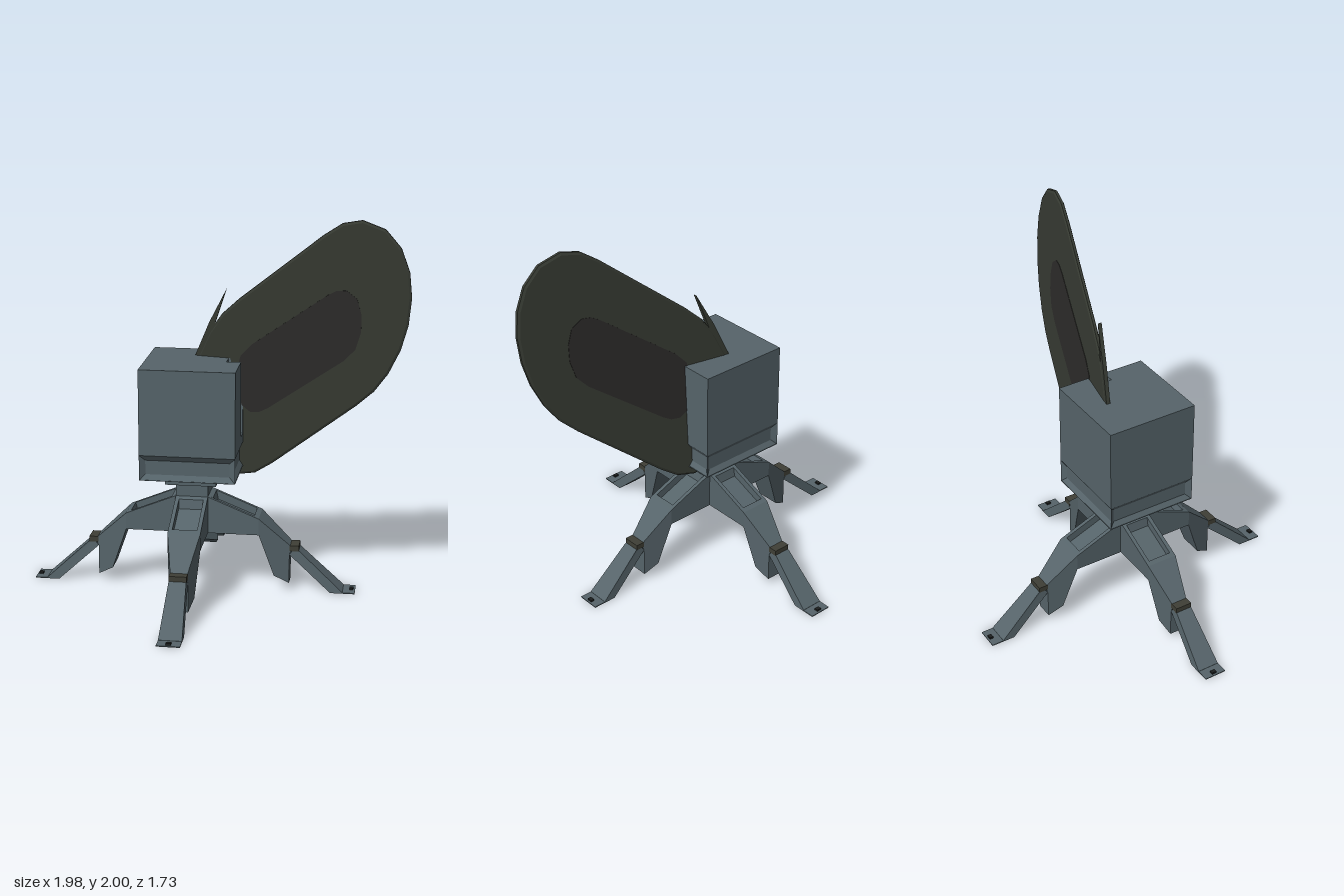
import * as THREE from 'three';

const mat = (color) => new THREE.MeshStandardMaterial({ color, flatShading: true, side: THREE.DoubleSide });
const steel = mat(0x56646a), olive = mat(0x363a32), brown = mat(0x2d2b2a), dark = mat(0x1c1e1e), band = mat(0x3f3f36);

function add(parent, name, geometry, material) {
  const mesh = new THREE.Mesh(geometry, material);
  mesh.name = name;
  parent.add(mesh);
  return mesh;
}

// Box given by its limits on each axis
function box(x0, x1, y0, y1, z0, z1) {
  return new THREE.BoxGeometry(x1 - x0, y1 - y0, z1 - z0)
    .translate((x0 + x1) / 2, (y0 + y1) / 2, (z0 + z1) / 2);
}

const shapeOf = (pts) => new THREE.Shape(pts.map(([x, y]) => new THREE.Vector2(x, y)));

// Moves every vertex by a rule
function bend(geometry, rule) {
  const p = geometry.attributes.position, v = new THREE.Vector3();
  for (let i = 0; i < p.count; i++) {
    rule(v.fromBufferAttribute(p, i));
    p.setXYZ(i, v.x, v.y, v.z);
  }
  geometry.computeVertexNormals();
  return geometry;
}

// Half-width of a leg at distance r from the hub
const widths = [[0, 0.085], [0.355, 0.085], [0.53, 0.042], [0.57, 0.045], [0.735, 0.06], [1, 0.06]];
function halfWidth(r) {
  let i = 1;
  while (i < widths.length - 1 && r > widths[i][0]) i++;
  const [a, wa] = widths[i - 1], [b, wb] = widths[i];
  return wa + (wb - wa) * (r - a) / (b - a);
}

// Side profile swept between z0 and z1 (as fractions of the leg's half-width)
function legSlab(profile, z0, z1) {
  const g = new THREE.ExtrudeGeometry(shapeOf(profile), { depth: z1 - z0, bevelEnabled: false });
  return bend(g.translate(0, 0, z0), (v) => { v.z *= halfWidth(v.x); });
}

function makeLeg() {
  const leg = new THREE.Group();
  const lower = [[0.355, 0.405], [0.53, 0.24], [0.515, 0.2], [0.515, 0.04], [0.435, 0.085], [0.355, 0.315], [0.085, 0.315]];
  const pocket = [[0.11, 0.505], [0.12, 0.455], [0.32, 0.375], [0.33, 0.415]];
  add(leg, 'armCore', legSlab([[0.085, 0.515], ...pocket, ...lower], -0.76, 0.76), steel);
  for (const s of [-1, 0.76]) {
    add(leg, 'armRail', legSlab([[0.085, 0.515], ...lower], s, s + 0.24), steel);
  }
  add(leg, 'strut', legSlab([[0.515, 0.2], [0.54, 0.235], [0.57, 0.22], [0.8, 0.006], [0.8, 0], [0.735, 0]], -1, 1), steel);
  add(leg, 'clamp', box(0.515, 0.565, 0.22, 0.25, -0.046, 0.046), band);
  add(leg, 'footPad', box(0.79, 0.865, 0, 0.005, -0.06, 0.06), steel);
  add(leg, 'footBolt', box(0.835, 0.855, 0.002, 0.015, -0.013, 0.013), dark);
  return leg;
}

// Sloping border of a recessed side panel, facing +z
function panelBorder(y0, y1) {
  const inset = 0.03, ring = (w, lo, hi, z) => [[-w, lo, z], [w, lo, z], [w, hi, z], [-w, hi, z]];
  const outer = ring(0.25, y0, y1, 0.25), inner = ring(0.25 - inset, y0 + inset, y1 - inset, 0.23);
  const pos = [];
  for (let i = 0; i < 4; i++) {
    const j = (i + 1) % 4;
    pos.push(...outer[i], ...outer[j], ...inner[j], ...outer[i], ...inner[j], ...inner[i]);
  }
  const g = new THREE.BufferGeometry();
  g.setAttribute('position', new THREE.Float32BufferAttribute(pos, 3));
  g.computeVertexNormals();
  return g;
}

// Flat plate lying in the leaning plane of the dish
function dishPlate(pts, thickness, bevel) {
  const g = new THREE.ExtrudeGeometry(shapeOf(pts), {
    depth: thickness - 2 * bevel * 0.5, bevelEnabled: bevel > 0,
    bevelThickness: bevel * 0.5, bevelSize: bevel, bevelOffset: -bevel, bevelSegments: 1,
  });
  g.translate(0, 0, -thickness / 2 + bevel * 0.5);
  return bend(g, (v) => { v.z += -0.08 + 0.204 * v.x + 0.058 * (v.y - 1.3); });
}

// Completes an outline by a half turn about the dish centre
const halfTurn = (pts) => [...pts, ...pts.map(([x, y]) => [0.82 - x, 2.59 - y])];

export function createModel() {
  const model = new THREE.Group();
  model.name = 'dishTurret';

  // Stand and housing share one vertical axis
  const base = new THREE.Group();
  base.name = 'base';
  base.position.x = -0.13;
  model.add(base);

  for (let i = 0; i < 4; i++) {
    const leg = makeLeg();
    leg.name = 'leg';
    leg.rotation.y = i * Math.PI / 2;
    base.add(leg);
  }
  add(base, 'hub', box(-0.085, 0.085, 0.315, 0.6, -0.085, 0.085), steel);
  add(base, 'turntable', box(-0.135, 0.135, 0.59, 0.646, -0.135, 0.135), steel);

  // Lower housing with a recessed panel on every side
  add(base, 'housingFloor', box(-0.25, 0.25, 0.645, 0.648, -0.25, 0.25), steel);
  add(base, 'housingPanels', box(-0.23, 0.23, 0.648, 0.78, -0.23, 0.23), steel);
  for (let i = 0; i < 4; i++) {
    add(base, 'panelBorder', panelBorder(0.645, 0.78), steel).rotation.y = i * Math.PI / 2;
  }

  // Upper housing with a slot on the left side for the dish
  add(base, 'housingMiddle', box(-0.25, 0.25, 0.78, 0.83, -0.25, 0.25), steel);
  const footprint = [[-0.25, -0.25], [0.25, -0.25], [0.25, -0.02], [0.175, -0.02],
    [0.175, 0.06], [0.25, 0.06], [0.25, 0.25], [-0.25, 0.25]];
  const upper = new THREE.ExtrudeGeometry(shapeOf(footprint), { depth: 0.405, bevelEnabled: false });
  add(base, 'housing', upper.rotateX(-Math.PI / 2).translate(0, 0.83, 0), steel);

  // Dish: long rounded plate, inner panel on both faces, and a spike
  const dish = new THREE.Group();
  dish.name = 'dish';
  model.add(dish);
  const rim = halfTurn([[0.72, 1.035], [0.81, 1.12], [0.88, 1.22], [0.94, 1.35], [0.975, 1.48], [0.988, 1.62],
    [0.975, 1.75], [0.93, 1.87], [0.85, 1.96], [0.735, 2.0], [0.635, 1.98], [0.54, 1.915]]);
  const panel = halfTurn([[0.65, 1.27], [0.71, 1.335], [0.738, 1.43], [0.738, 1.52],
    [0.715, 1.6], [0.66, 1.64], [0.61, 1.635], [0.565, 1.61]]);
  add(dish, 'dishPlate', dishPlate(rim, 0.026, 0.012), olive);
  add(dish, 'dishPanel', dishPlate(panel, 0.03, 0), brown);
  add(dish, 'spike', dishPlate([[-0.16, 1.15], [-0.02, 1.2], [0.0, 1.45], [-0.03, 1.41], [0.035, 1.605],
    [-0.06, 1.42], [-0.14, 1.23]], 0.022, 0), olive);

  return model;
}
